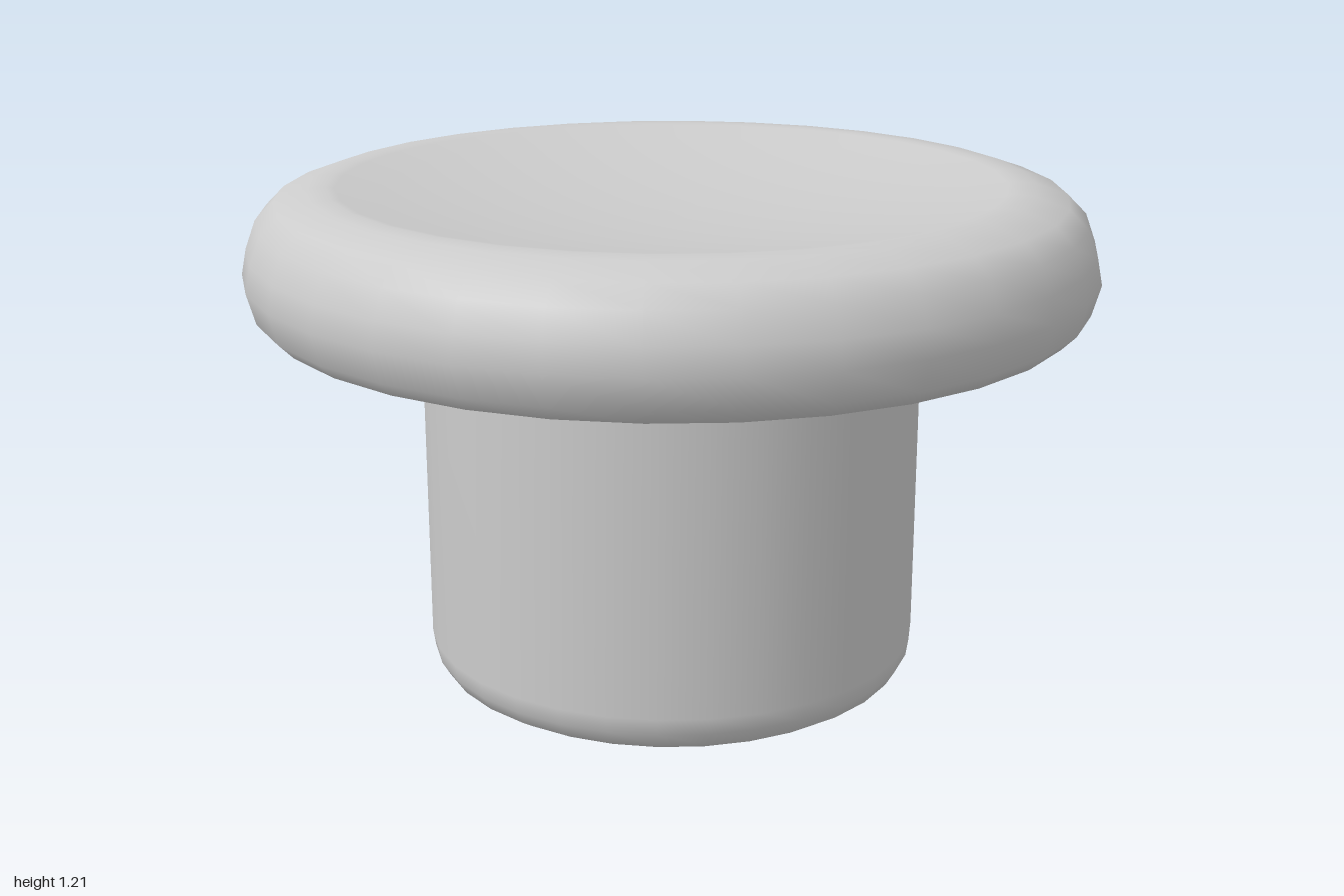
import * as THREE from 'three';

const SIDES = 32;

// Turned part from [radius, height] pairs, listed from bottom to top
function turned(name, profile) {
  const points = profile.map(([r, y]) => new THREE.Vector2(r, y));
  const mesh = new THREE.Mesh(
    new THREE.LatheGeometry(points, SIDES),
    new THREE.MeshStandardMaterial({ color: 0xcccccc })
  );
  mesh.name = name;
  return mesh;
}

export function createModel() {
  const group = new THREE.Group();
  group.name = 'thumbstickCap';

  // Stem with a small rounded lower edge, running just into the cap
  group.add(turned('stem', [
    [0, 0], [0.5, 0], [0.535, 0.005], [0.567, 0.025], [0.588, 0.06],
    [0.594, 0.1], [0.594, 0.9],
  ]));

  // Wide cap: flat underside, rounded rim
  const cap = [
    [0, 0.888], [0.82, 0.888], [0.89, 0.889], [0.947, 0.905], [0.98, 0.938],
    [1, 1.01], [0.988, 1.07], [0.964, 1.135], [0.92, 1.179], [0.845, 1.205], [0.8, 1.208],
  ];
  // Shallow dished top
  const dishRadius = 0.78, dishDepth = 0.075;
  for (let i = 8; i >= 0; i--) {
    const t = i / 8;
    cap.push([dishRadius * t, 1.205 - dishDepth * (1 - t * t)]);
  }
  group.add(turned('cap', cap));

  return group;
}
